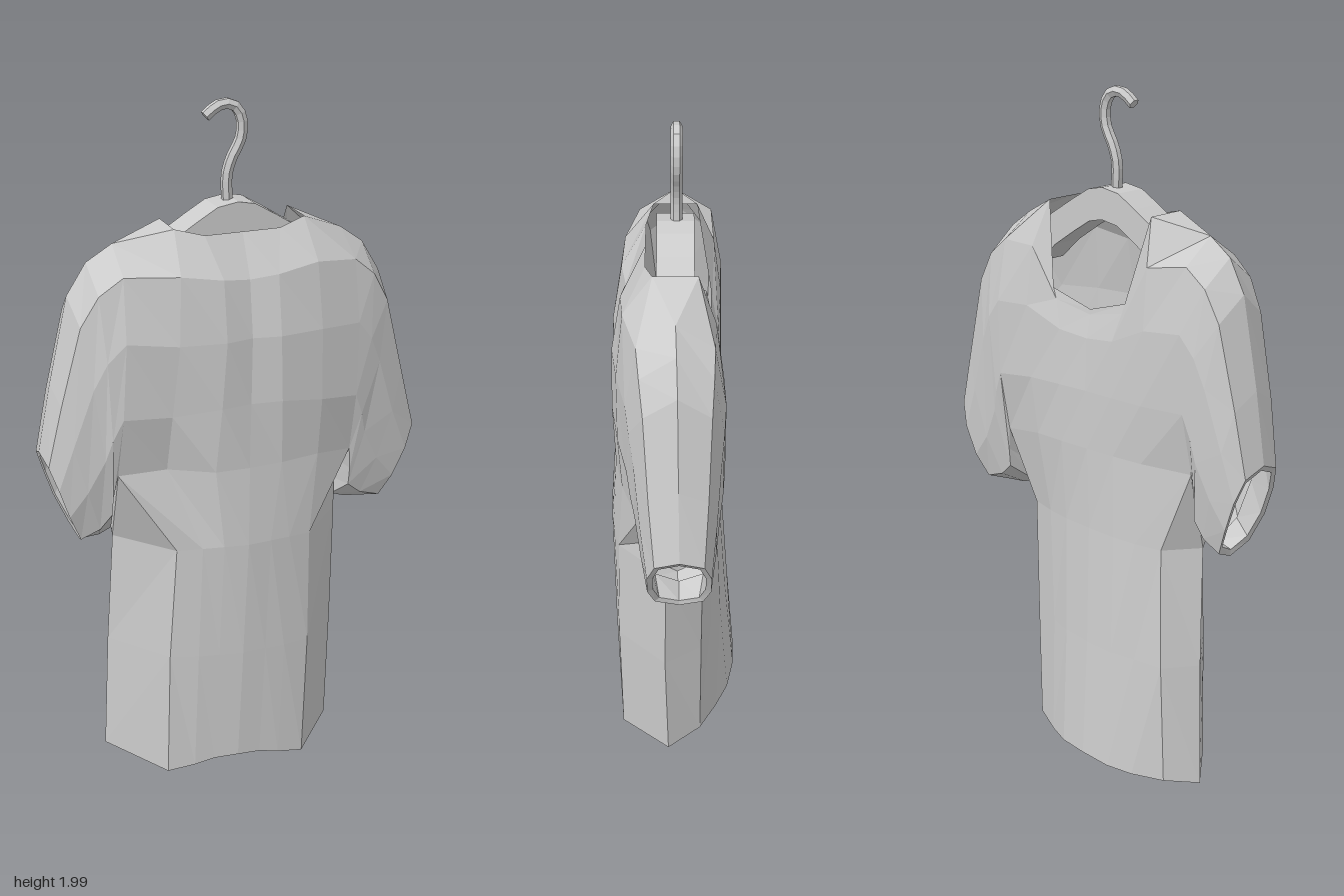
import * as THREE from 'three';

const cloth = new THREE.MeshStandardMaterial({ color: 0xcccccc, flatShading: true, side: THREE.DoubleSide });
const metal = new THREE.MeshStandardMaterial({ color: 0xcccccc, flatShading: true });
const { clamp } = THREE.MathUtils;

// Uneven hang of the cloth
function drape([x, y, z]) {
  // the hem hangs toward -x while the cuffs stay put
  const low = clamp((1.4 - y) / 1.3, 0, 1);
  const inner = clamp((0.55 - Math.abs(x)) / 0.2, 0, 1);
  // the right shoulder and sleeve sit a little higher and wider
  const right = clamp((-x - 0.2) / 0.15, 0, 1) * clamp((y - 0.76) / 0.1, 0, 1);
  const wide = clamp((0.57 + x) / 0.1, 0, 1);
  // a fold is pressed into the front beside the right armpit
  const fold = z > 0.08 ? 0.05 * Math.max(0, 1 - Math.abs(x + 0.23) / 0.13) * Math.max(0, 1 - Math.abs(y - 1) / 0.25) : 0;
  // the lower body is twisted backward on the right
  const front = x < 0 ? 0.2 : 0;
  const twist = x * (z > 0.05 ? front : 0.12) * clamp((0.95 - y) / 0.3, 0, 1) * (Math.abs(x) < 0.36 && y < 0.76 ? 1 : 0);
  return [x - 0.045 * low * inner - 0.02 * right * wide, y + 0.025 * right, z - fold + twist];
}

const mirror = ([x, y, z]) => [-x, y, z];

// Faces given as lists of corner points, fanned into triangles
function meshFromFaces(name, faces) {
  const pos = [];
  for (const f of faces) {
    for (let i = 1; i < f.length - 1; i++) pos.push(...drape(f[0]), ...drape(f[i]), ...drape(f[i + 1]));
  }
  const g = new THREE.BufferGeometry();
  g.setAttribute('position', new THREE.Float32BufferAttribute(pos, 3));
  g.computeVertexNormals();
  const m = new THREE.Mesh(g, cloth);
  m.name = name;
  return m;
}

// Sleeve sections: outer [x, y], inner [x, y], half depth
const sections = [
  [[0.33, 1.61], [0.345, 0.9], 0.137],
  [[0.4, 1.56], [0.348, 0.83], 0.13],
  [[0.455, 1.47], [0.345, 0.778], 0.12],
  [[0.52, 1.22], [0.385, 0.762], 0.106],
  [[0.568, 1.02], [0.45, 0.755], 0.09],
  // turned-in cuff
  [[0.558, 1.005], [0.45, 0.772], 0.074],
  [[0.505, 1.2], [0.39, 0.785], 0.09],
];
const SIDES = 10;

// Point k of a section: 0 is the armpit, SIDES / 2 the top
function sectionPoint([o, n, depth], k, zShift = 0) {
  const a = ((k % SIDES) / SIDES) * Math.PI * 2;
  const t = (1 - Math.cos(a)) / 2;
  const s = Math.sin(a);
  const z = Math.sign(s) * Math.abs(s) ** 0.55;
  return [n[0] + (o[0] - n[0]) * t, n[1] + (o[1] - n[1]) * t, depth * z + zShift];
}

function sleeve(side) {
  const faces = [];
  const shift = side > 0 ? -0.01 : -0.03;
  const pt = (i, k) => {
    const p = sectionPoint(sections[i], k, shift * Math.min(i / 4, 1));
    return side > 0 ? p : mirror(p);
  };
  for (let i = 0; i < sections.length - 1; i++) {
    for (let k = 0; k < SIDES; k++) {
      const f = [pt(i, k), pt(i + 1, k), pt(i + 1, k + 1), pt(i, k + 1)];
      faces.push(side > 0 ? f : f.reverse());
    }
  }
  return meshFromFaces(side > 0 ? 'leftSleeve' : 'rightSleeve', faces);
}

// Torso rows from hem to shoulder; columns from the side corner to the centre
const arm = (k) => sectionPoint(sections[0], k);
const front = [
  [[0.21, 0.005, 0.165], [0.13, 0.02, 0.167], [0.07, 0.035, 0.165], [0, 0.04, 0.165]],
  [[0.21, 0.4, 0.17], [0.13, 0.4, 0.18], [0.07, 0.4, 0.18], [0, 0.4, 0.18]],
  [[0.2, 0.75, 0.165], [0.13, 0.755, 0.18], [0.07, 0.757, 0.187], [0, 0.757, 0.19]],
  [arm(1), [0.22, 0.99, 0.15], [0.1, 0.99, 0.17], [0, 0.99, 0.175]],
  [arm(2), [0.22, 1.16, 0.16], [0.09, 1.18, 0.178], [0, 1.18, 0.168]],
  [arm(3), [0.21, 1.37, 0.16], [0.08, 1.37, 0.175], [0, 1.37, 0.16]],
  [arm(4), [0.2, 1.56, 0.14], [0.08, 1.54, 0.148], [0, 1.53, 0.135]],
  [arm(5), [0.19, 1.67, 0.06], [0.11, 1.65, 0.08], [0, 1.65, 0.08]],
];
const back = [
  [[0.28, 0.045, -0.11], [0.18, 0.04, -0.15], [0.1, 0.045, -0.178], [0, 0.05, -0.187]],
  [[0.275, 0.4, -0.11], [0.18, 0.4, -0.13], [0.1, 0.4, -0.15], [0, 0.4, -0.155]],
  [[0.265, 0.75, -0.1], [0.18, 0.75, -0.12], [0.1, 0.75, -0.13], [0, 0.75, -0.132]],
  [arm(9), [0.2, 0.99, -0.125], [0.1, 0.99, -0.13], [0, 0.99, -0.13]],
  [arm(8), [0.21, 1.16, -0.135], [0.1, 1.16, -0.131], [0, 1.16, -0.128]],
  [arm(7), [0.22, 1.37, -0.13], [0.1, 1.32, -0.122], [0, 1.31, -0.117]],
  [arm(6), [0.215, 1.54, -0.108], [0.125, 1.4, -0.105], [0, 1.375, -0.1]],
  [arm(5), [0.19, 1.67, -0.06], [0.14, 1.43, -0.1], [0, 1.39, -0.098]],
];
const sideSeam = [[0.35, 0.03, -0.02], [0.345, 0.4, -0.01], [0.34, 0.75, 0], arm(0)];

// Turned-in lining: inset copies of the three lowest rows, running back down to the hem
const inset = ([x, y, z]) => [x * 0.93, y, z * 0.87];
const addLining = (rows, copy) => rows.unshift(...[2, 1, 0].map((r) => copy(rows[r])));
addLining(front, (row) => row.map(inset));
addLining(back, (row) => row.map(inset));
addLining(sideSeam, inset);

function torso() {
  const half = [];
  for (let r = 0; r < front.length - 1; r++) {
    for (let c = 0; c < 3; c++) {
      half.push([front[r][c], front[r + 1][c], front[r + 1][c + 1], front[r][c + 1]]);
      half.push([back[r][c], back[r][c + 1], back[r + 1][c + 1], back[r + 1][c]]);
    }
    // side panels stop at the armpit
    if (r < sideSeam.length - 1) {
      half.push([front[r][0], sideSeam[r], sideSeam[r + 1], front[r + 1][0]]);
      half.push([back[r][0], back[r + 1][0], sideSeam[r + 1], sideSeam[r]]);
    }
  }
  // top of the shoulder beside the neck
  half.push([arm(5), back.at(-1)[1], front.at(-1)[1]]);
  const other = half.map((f) => f.map(mirror).reverse());
  return meshFromFaces('torso', [...half, ...other]);
}

// Curved hanger bar, rounded at the top, resting inside the shoulders
function hangerBar() {
  const top = [[-0.27, 1.57], [-0.2, 1.63], [-0.12, 1.68], [-0.06, 1.715], [0, 1.725], [0.05, 1.715], [0.11, 1.68], [0.19, 1.63], [0.26, 1.57]];
  const under = top.map(([x, y]) => [x * 0.95, y - 0.09]).reverse();
  const shape = new THREE.Shape([...top, ...under].map(([x, y]) => new THREE.Vector2(x, y)));
  const g = new THREE.ExtrudeGeometry(shape, { depth: 0.1, bevelEnabled: false });
  g.translate(0, 0, -0.05);
  const m = new THREE.Mesh(g, metal);
  m.name = 'hangerBar';
  return m;
}

// Wire hook with a closed tip
function hangerHook() {
  const group = new THREE.Group();
  group.name = 'hangerHook';
  const pts = [[-0.012, 1.7], [-0.014, 1.79], [0, 1.835], [0.026, 1.885], [0.03, 1.935], [0.012, 1.973], [-0.022, 1.984], [-0.052, 1.972], [-0.076, 1.953]];
  const curve = new THREE.CatmullRomCurve3(pts.map(([x, y]) => new THREE.Vector3(x, y, -0.003)));
  const wire = new THREE.Mesh(new THREE.TubeGeometry(curve, 16, 0.016, 6), metal);
  wire.name = 'hookWire';
  const tip = new THREE.Mesh(new THREE.CircleGeometry(0.016, 6), metal);
  tip.name = 'hookTip';
  tip.position.copy(curve.getPoint(1));
  tip.lookAt(tip.position.clone().add(curve.getTangent(1)));
  group.add(wire, tip);
  return group;
}

export function createModel() {
  const model = new THREE.Group();
  model.name = 'shirtOnHanger';
  model.add(torso(), sleeve(1), sleeve(-1), hangerBar(), hangerHook());
  return model;
}
